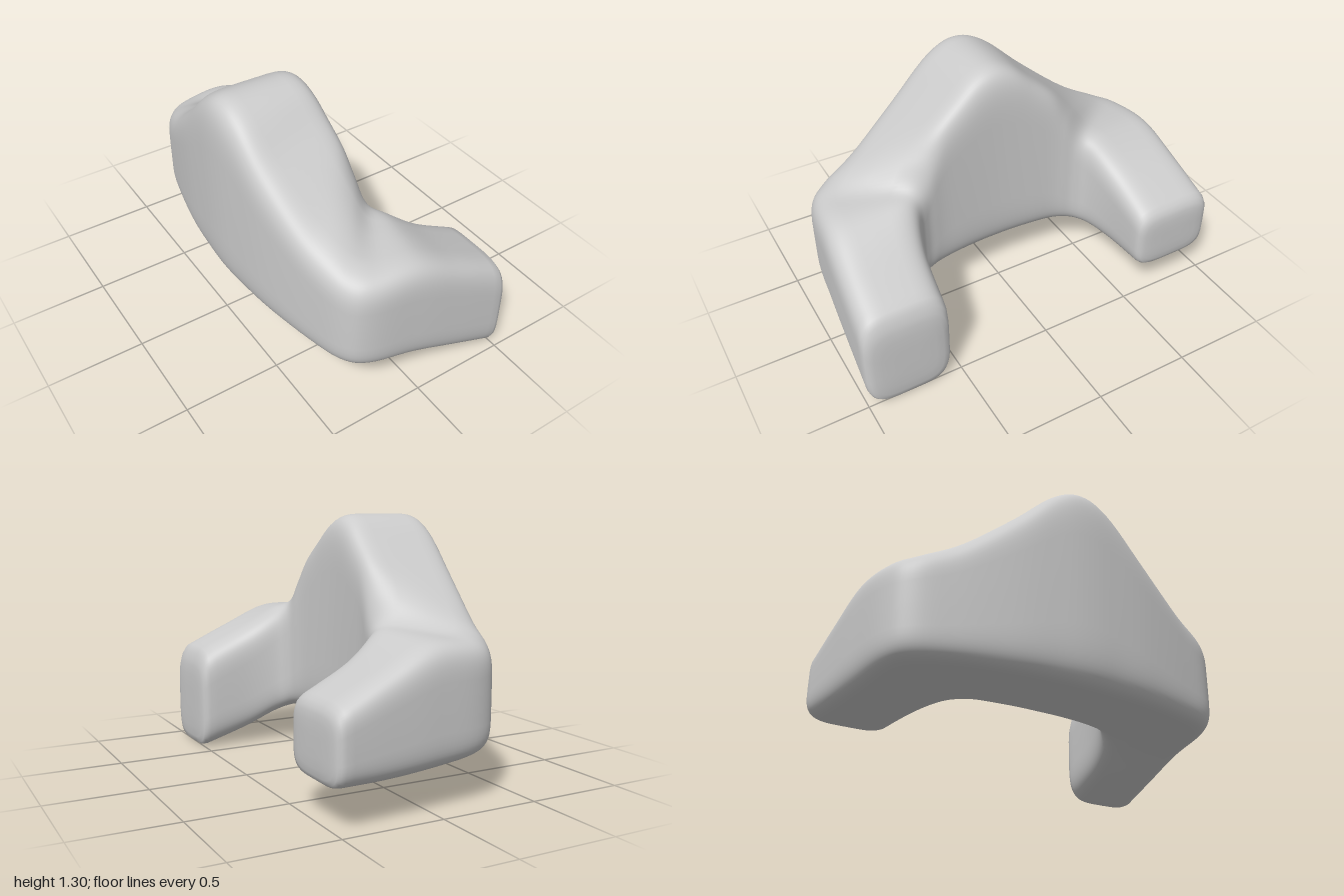
import * as THREE from 'three';

// Stations of one half, from arm tip to middle of the back wall:
// outer x, outer z, inner x, inner z, outer top, inner top, bottom (front arm), bottom (rear arm)
const STATIONS = [
  [0.475, 1.0, 0.475, 0.55, 0.545, 0.545, 0.0, 0.18],
  [0.25, 0.985, 0.25, 0.53, 0.65, 0.66, 0.08, 0.178],
  [0.0, 0.965, 0.11, 0.49, 0.75, 0.77, 0.16, 0.187],
  [-0.25, 0.93, 0.06, 0.435, 0.745, 0.825, 0.2, 0.205],
  [-0.36, 0.845, 0.04, 0.37, 0.745, 0.97, 0.215, 0.22],
  [-0.425, 0.65, 0.028, 0.3, 0.825, 1.1, 0.222, 0.23],
  [-0.485, 0.38, 0.02, 0.2, 1.035, 1.195, 0.226, 0.23],
  [-0.513, 0.16, 0.015, 0.1, 1.235, 1.27, 0.227, 0.229],
];
const MIDDLE = [-0.522, 0, 0.013, 0, 1.297, 1.297, 0.227, 0.227];
const SIDES = 64;
const STEPS = 6;

// Rounded-rectangle cross-section between an outer and an inner edge
function section(outer, inner, bottom, squareness) {
  const ring = [];
  const soft = (c) => Math.sign(c) * Math.pow(Math.abs(c), 2 / squareness);
  for (let j = 0; j < SIDES; j++) {
    const a = (j / SIDES) * Math.PI * 2;
    const s = (soft(Math.cos(a)) + 1) / 2;
    const v = (soft(Math.sin(a)) + 1) / 2;
    const p = outer.clone().lerp(inner, s);
    p.y = bottom + (p.y - bottom) * v;
    ring.push(p);
  }
  return ring;
}

// Shrinking rings that round off an arm tip: x, height scale, width scale, sag
const TIP = [
  [0.498, 0.94, 0.97, 0.5], [0.511, 0.85, 0.91, 1], [0.518, 0.74, 0.8, 1],
  [0.522, 0.55, 0.62, 1], [0.523, 0.3, 0.3, 1], [0.523, 0, 0, 1],
];
function tipRings(ring, sag) {
  const centre = new THREE.Vector3();
  ring.forEach((p) => centre.addScaledVector(p, 1 / SIDES));
  return TIP.map(([x, ky, kz, drop]) => ring.map((p) => new THREE.Vector3(
    x,
    centre.y + (p.y - centre.y) * ky - sag * drop,
    centre.z + (p.z - centre.z) * kz)));
}

// Skin a list of closed rings
function loft(rings) {
  const positions = rings.flat().flatMap((p) => [p.x, p.y, p.z]);
  const index = [];
  for (let i = 0; i < rings.length - 1; i++) {
    for (let j = 0; j < SIDES; j++) {
      const k = (j + 1) % SIDES;
      const a = i * SIDES + j, b = a + SIDES, c = i * SIDES + k, d = c + SIDES;
      index.push(a, b, c, c, b, d);
    }
  }
  const geometry = new THREE.BufferGeometry();
  geometry.setAttribute('position', new THREE.Float32BufferAttribute(positions, 3));
  geometry.setIndex(index);
  geometry.computeVertexNormals();
  return geometry;
}

export function createModel() {
  const group = new THREE.Group();
  group.name = 'bracket';

  // Front half, middle, then the mirrored rear half
  const outer = [], inner = [], base = [];
  const add = ([ox, oz, ix, iz, topO, topI, front, rear], side) => {
    outer.push(new THREE.Vector3(ox, topO, oz * side));
    inner.push(new THREE.Vector3(ix, topI, iz * side));
    base.push(new THREE.Vector3(0, side > 0 ? front : rear, 0));
  };
  STATIONS.forEach((s) => add(s, 1));
  add(MIDDLE, 1);
  [...STATIONS].reverse().forEach((s) => add(s, -1));

  const [outerCurve, innerCurve, baseCurve] = [outer, inner, base].map(
    (points) => new THREE.CatmullRomCurve3(points, false, 'catmullrom', 0.5));
  const count = (outer.length - 1) * STEPS;
  const rings = [];
  for (let i = 0; i <= count; i++) {
    const t = i / count;
    // Arms are rounder, the wall is squarer
    const squareness = 4.2 + 1.8 * Math.sin(Math.PI * t);
    rings.push(section(outerCurve.getPoint(t), innerCurve.getPoint(t), baseCurve.getPoint(t).y, squareness));
  }
  const startTip = tipRings(rings[0], 0.033).reverse();
  const endTip = tipRings(rings[count], 0.015);

  // Peaked back wall with two forward arms, one continuous body
  const body = new THREE.Mesh(
    loft([...startTip, ...rings, ...endTip]),
    new THREE.MeshStandardMaterial({ color: 0xcccccc }));
  body.name = 'backWallAndArms';
  group.add(body);
  return group;
}
